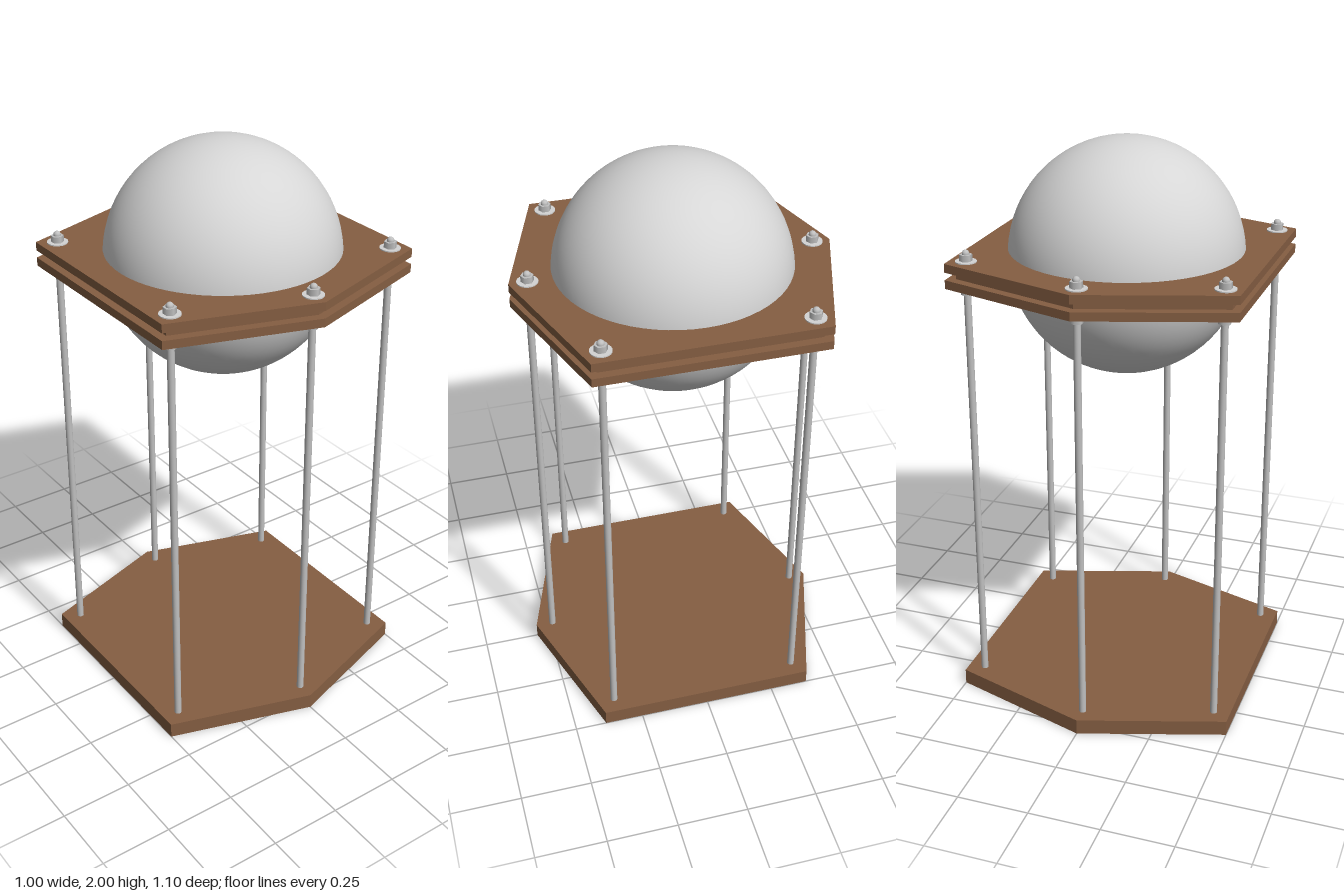
import * as THREE from 'three';

const mat = (name, color) => {
  const m = new THREE.MeshStandardMaterial({ color });
  m.name = name;
  return m;
};

// Six corners of the elongated hexagon; also the directions of the rods
const corners = [[0.5, 0.388], [0, 0.55], [-0.5, 0.388], [-0.5, -0.388], [0, -0.55], [0.5, -0.388]];

export function createModel() {
  const wood = mat('wood', 0x855e42);
  const shell = mat('pale shell', 0xd6d6d6);
  const steel = mat('steel', 0xc0c0c0);
  const washerSteel = mat('washer steel', 0xd3d3d3);

  const model = new THREE.Group();
  model.name = 'globeStand';

  const add = (parent, name, geometry, material, x, y, z) => {
    const mesh = new THREE.Mesh(geometry, material);
    mesh.name = name;
    mesh.position.set(x, y, z);
    parent.add(mesh);
    return mesh;
  };

  // Hexagonal board lying flat between two heights, with an optional round hole
  const board = (name, y0, y1, scale, hole) => {
    const shape = new THREE.Shape(corners.map(([x, z]) => new THREE.Vector2(x * scale, z * scale)));
    if (hole) shape.holes.push(new THREE.Path().absarc(0, 0, hole, 0, Math.PI * 2, true));
    const geometry = new THREE.ExtrudeGeometry(shape, { depth: y1 - y0, bevelEnabled: false, curveSegments: 48 });
    geometry.rotateX(-Math.PI / 2);
    add(model, name, geometry, wood, 0, y0, 0);
  };

  board('base', 0, 0.055, 1, 0);
  board('lowerPlate', 1.54, 1.57, 1, 0.402);
  board('middlePlate', 1.57, 1.596, 0.94, 0.4);
  board('upperPlate', 1.596, 1.626, 1, 0.402);

  // Ball held by the plates
  add(model, 'ball', new THREE.SphereGeometry(0.405, 64, 40), shell, 0, 1.595, 0);

  // Threaded rods with a washer and nut on each side of the plates
  const rodGeometry = new THREE.CylinderGeometry(0.0125, 0.0125, 1.615, 20);
  const tipGeometry = new THREE.SphereGeometry(0.0125, 20, 8, 0, Math.PI * 2, 0, Math.PI / 2);
  const nutGeometry = new THREE.CylinderGeometry(0.022, 0.022, 0.022, 6);
  const washerGeometry = new THREE.CylinderGeometry(0.036, 0.036, 0.004, 28);
  corners.forEach(([cx, cz]) => {
    const rod = new THREE.Group();
    rod.name = 'rodAssembly';
    rod.position.set(cx * 0.882, 0, cz * 0.886);
    model.add(rod);
    add(rod, 'rod', rodGeometry, steel, 0, 0.8475, 0);
    add(rod, 'rodTip', tipGeometry, steel, 0, 1.655, 0);
    add(rod, 'upperWasher', washerGeometry, washerSteel, 0, 1.628, 0);
    add(rod, 'lowerWasher', washerGeometry, washerSteel, 0, 1.538, 0);
    add(rod, 'upperNut', nutGeometry, steel, 0, 1.641, 0);
    add(rod, 'lowerNut', nutGeometry, steel, 0, 1.525, 0);
  });

  return model;
}
